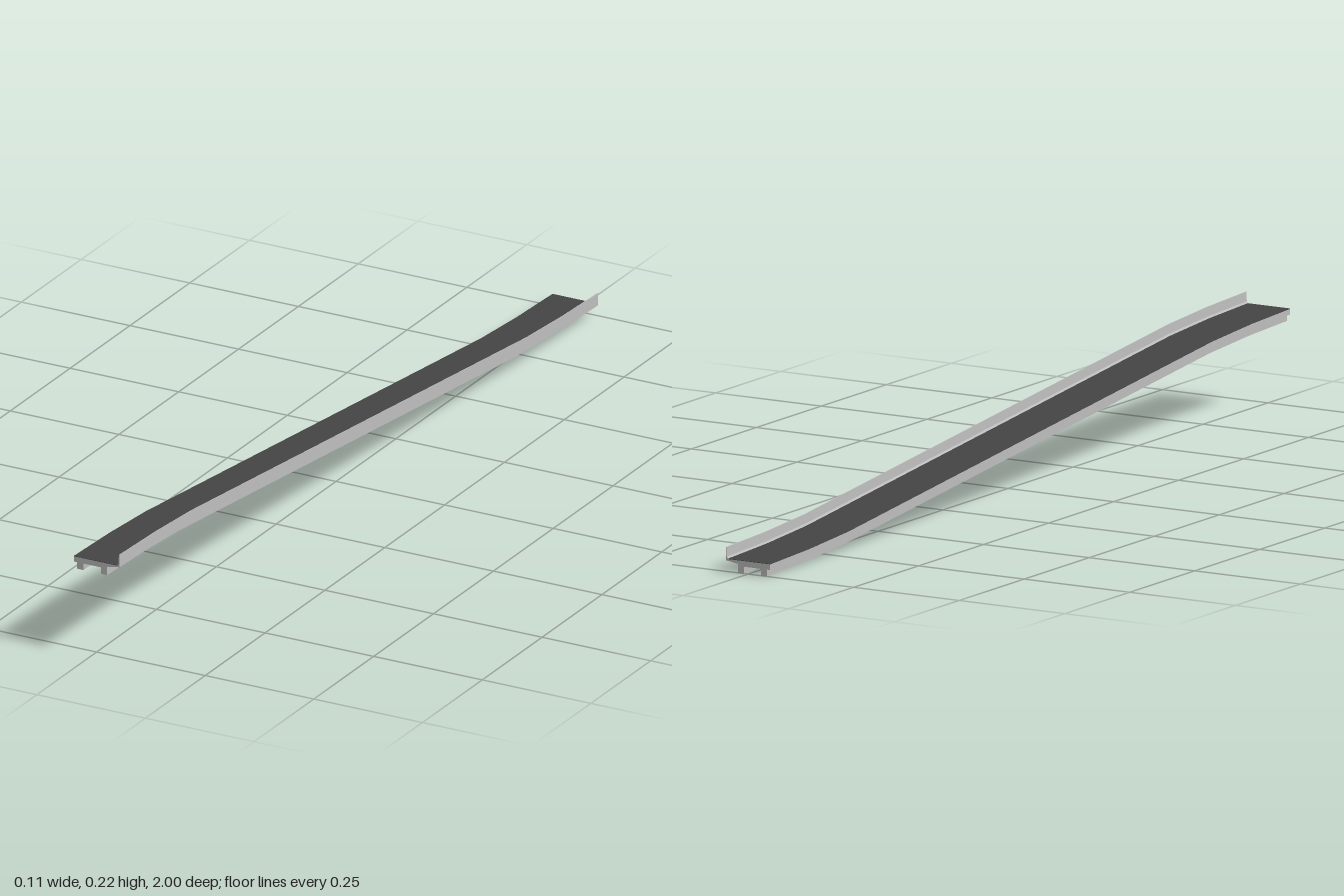
import * as THREE from 'three';

// Stations along the ramp: z position and height relative to the high end
const STATIONS = [
  [-1, -0.1735], [-0.85, -0.1685], [-0.7, -0.159],
  [0.7, -0.0145], [0.85, -0.005], [1, 0],
];

// Sweep a cross-section (given at the high end) along the ramp
function sweep(name, points, material) {
  const shape = new THREE.Shape(points.map(([x, y]) => new THREE.Vector2(x, y)));
  const steps = STATIONS.length - 1;
  const geometry = new THREE.ExtrudeGeometry(shape, { depth: 1, steps, bevelEnabled: false });
  const pos = geometry.attributes.position;
  for (let i = 0; i < pos.count; i++) {
    const [z, drop] = STATIONS[Math.round(pos.getZ(i) * steps)];
    pos.setY(i, pos.getY(i) + drop);
    pos.setZ(i, z);
  }
  geometry.computeVertexNormals();
  const mesh = new THREE.Mesh(geometry, material);
  mesh.name = name;
  return mesh;
}

const rect = (x0, x1, y0, y1) => [[x0, y0], [x1, y0], [x1, y1], [x0, y1]];

export function createModel() {
  const concrete = new THREE.MeshStandardMaterial({ color: 0xbebebe });
  concrete.name = 'concrete';
  const asphalt = new THREE.MeshStandardMaterial({ color: 0x444444 });
  asphalt.name = 'asphalt';

  const group = new THREE.Group();
  group.name = 'rampBridge';

  // Slab with a thinner, tapering overhang on the left
  group.add(sweep('deckSlab', [
    [-0.0526, 0.1877], [0.024, 0.1877], [0.024, 0.192],
    [0.0526, 0.1966], [0.0526, 0.1992], [-0.0526, 0.1992],
  ], concrete));

  // Road surface
  group.add(sweep('roadSurface', rect(-0.0526, 0.048, 0.1992, 0.2), asphalt));

  // Two girders under the slab
  group.add(sweep('rightGirder', rect(-0.0446, -0.0305, 0.1735, 0.1877), concrete));
  group.add(sweep('leftGirder', rect(0.0099, 0.024, 0.1735, 0.1877), concrete));

  // Parapet with a flared foot
  group.add(sweep('parapet', [
    [0.0475, 0.1992], [0.0526, 0.1992], [0.0526, 0.2235],
    [0.0512, 0.2235], [0.0502, 0.204],
  ], concrete));

  return group;
}
